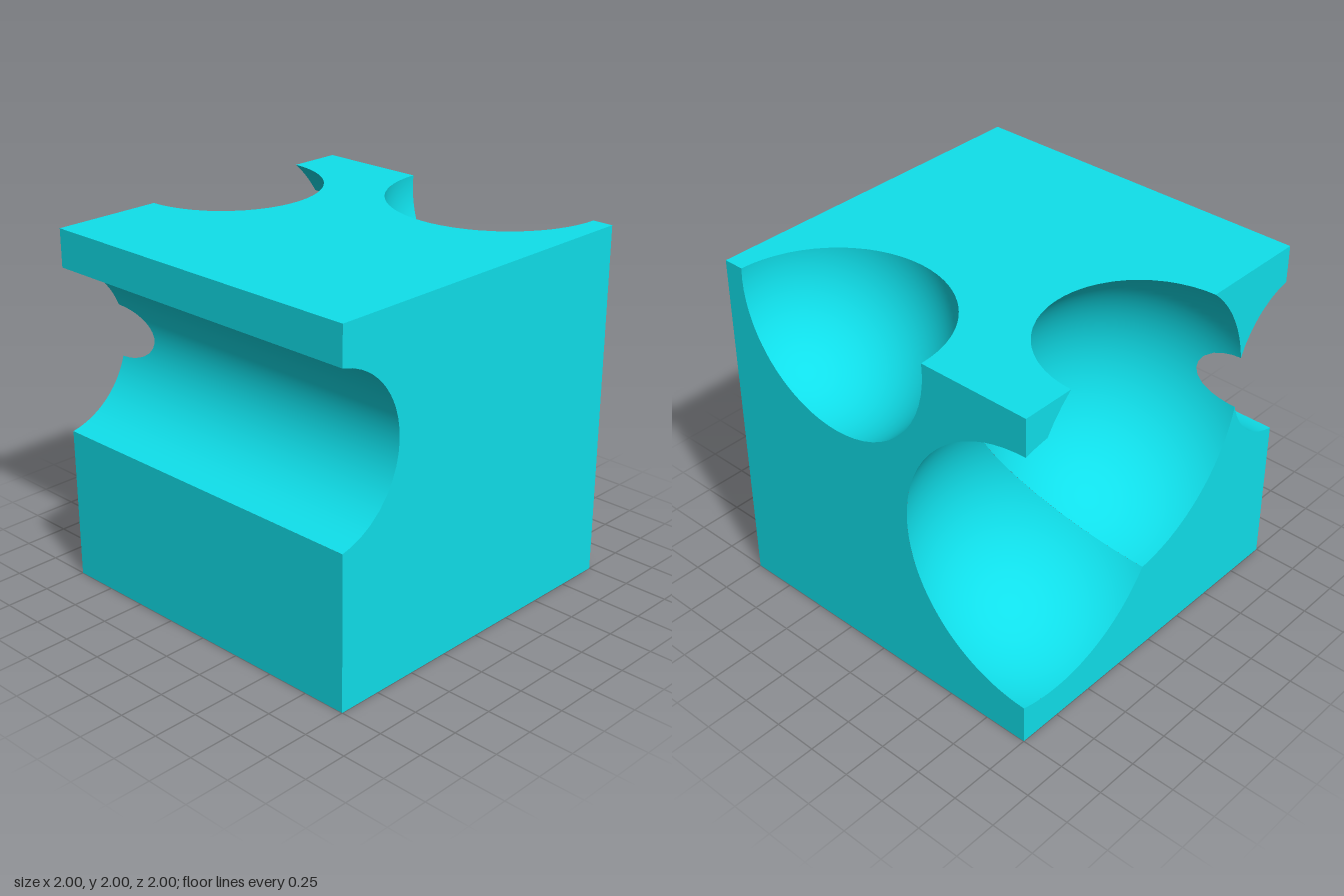
import * as THREE from 'three';

const WALL = 0.075;
const material = new THREE.MeshStandardMaterial({ color: 0x10dfea });

// Round hollows bitten out of the block: three balls and one channel along x
const hollows = [
  { name: 'BackTopScoop', c: new THREE.Vector3(0.26, 1.94, -1), r: 0.625 },
  { name: 'SideTopScoop', c: new THREE.Vector3(-1, 1.382, -0.163), r: 0.818 },
  { name: 'BackCornerScoop', c: new THREE.Vector3(-1, 1.01, -0.768), r: 0.812 },
  { name: 'FrontChannel', c: new THREE.Vector3(0, 1.327, 1.085), r: 0.47, channel: true },
];

// Vector from the hollow's centre (or axis) to a point
function fromCentre(h, p) {
  const v = p.clone().sub(h.c);
  if (h.channel) v.x = 0;
  return v;
}

function trianglesOf(geometry) {
  const pos = geometry.toNonIndexed().attributes.position;
  const tris = [];
  for (let i = 0; i < pos.count; i += 3) {
    tris.push([0, 1, 2].map((k) => new THREE.Vector3().fromBufferAttribute(pos, i + k)));
  }
  return tris;
}

// Keep the part of every triangle where f >= 0
function clip(tris, f) {
  const kept = [];
  for (const tri of tris) {
    const d = tri.map(f);
    const poly = [];
    for (let i = 0; i < 3; i++) {
      const j = (i + 1) % 3;
      if (d[i] >= 0) poly.push(tri[i]);
      if ((d[i] >= 0) !== (d[j] >= 0)) {
        poly.push(tri[i].clone().lerp(tri[j], d[i] / (d[i] - d[j])));
      }
    }
    for (let k = 2; k < poly.length; k++) kept.push([poly[0], poly[k - 1], poly[k]]);
  }
  return kept;
}

// Mesh from triangles; normalAt gives smooth normals, otherwise faces are flat
function meshFrom(name, tris, flip, normalAt) {
  const points = tris.flatMap(([a, b, c]) => (flip ? [a, c, b] : [a, b, c]));
  const geometry = new THREE.BufferGeometry().setFromPoints(points);
  if (normalAt) {
    const normals = points.flatMap((p) => normalAt(p).toArray());
    geometry.setAttribute('normal', new THREE.Float32BufferAttribute(normals, 3));
  } else {
    geometry.computeVertexNormals();
  }
  const mesh = new THREE.Mesh(geometry, material);
  mesh.name = name;
  return mesh;
}

// One skin of the shell, set inward by t; the inner skin faces the cavity
function buildSkin(name, t, inner) {
  const skin = new THREE.Group();
  skin.name = name + 'Skin';
  const half = 1 - t, top = 2 - t;
  const outside = (h) => (p) => fromCentre(h, p).length() - (h.r + t);

  // Flat walls and top, open below
  const box = new THREE.BoxGeometry(2 * half, top, 2 * half, 32, 32, 32).translate(0, top / 2, 0);
  let walls = trianglesOf(box).filter((tri) => tri.some((p) => p.y > 1e-5));
  for (const h of hollows) walls = clip(walls, outside(h));
  skin.add(meshFrom(name + 'Walls', walls, inner));

  // Curved hollows, trimmed to the box and to each other
  const planes = [
    (p) => half - p.x, (p) => half + p.x,
    (p) => half - p.z, (p) => half + p.z,
    (p) => top - p.y,
  ];
  for (const h of hollows) {
    const r = h.r + t;
    const geometry = h.channel
      ? new THREE.CylinderGeometry(r, r, 2, 96, 40, true).rotateZ(Math.PI / 2)
      : new THREE.SphereGeometry(r, 96, 64);
    geometry.translate(h.c.x, h.c.y, h.c.z);
    let tris = trianglesOf(geometry);
    for (const f of planes) tris = clip(tris, f);
    for (const other of hollows) if (other !== h) tris = clip(tris, outside(other));
    const sign = inner ? 1 : -1;
    skin.add(meshFrom(name + h.name, tris, !inner,
      (p) => fromCentre(h, p).normalize().multiplyScalar(sign)));
  }
  return skin;
}

// Square ring under the walls
function buildRim() {
  const square = (s) => [[-s, -s], [s, -s], [s, s], [-s, s]].map(([x, y]) => new THREE.Vector2(x, y));
  const shape = new THREE.Shape(square(1));
  shape.holes.push(new THREE.Path(square(1 - WALL)));
  const rim = new THREE.Mesh(new THREE.ShapeGeometry(shape).rotateX(Math.PI / 2), material);
  rim.name = 'bottomRim';
  return rim;
}

export function createModel() {
  const model = new THREE.Group();
  model.name = 'hollowedBlock';
  model.add(buildSkin('outer', 0, false), buildSkin('inner', WALL, true), buildRim());
  return model;
}
